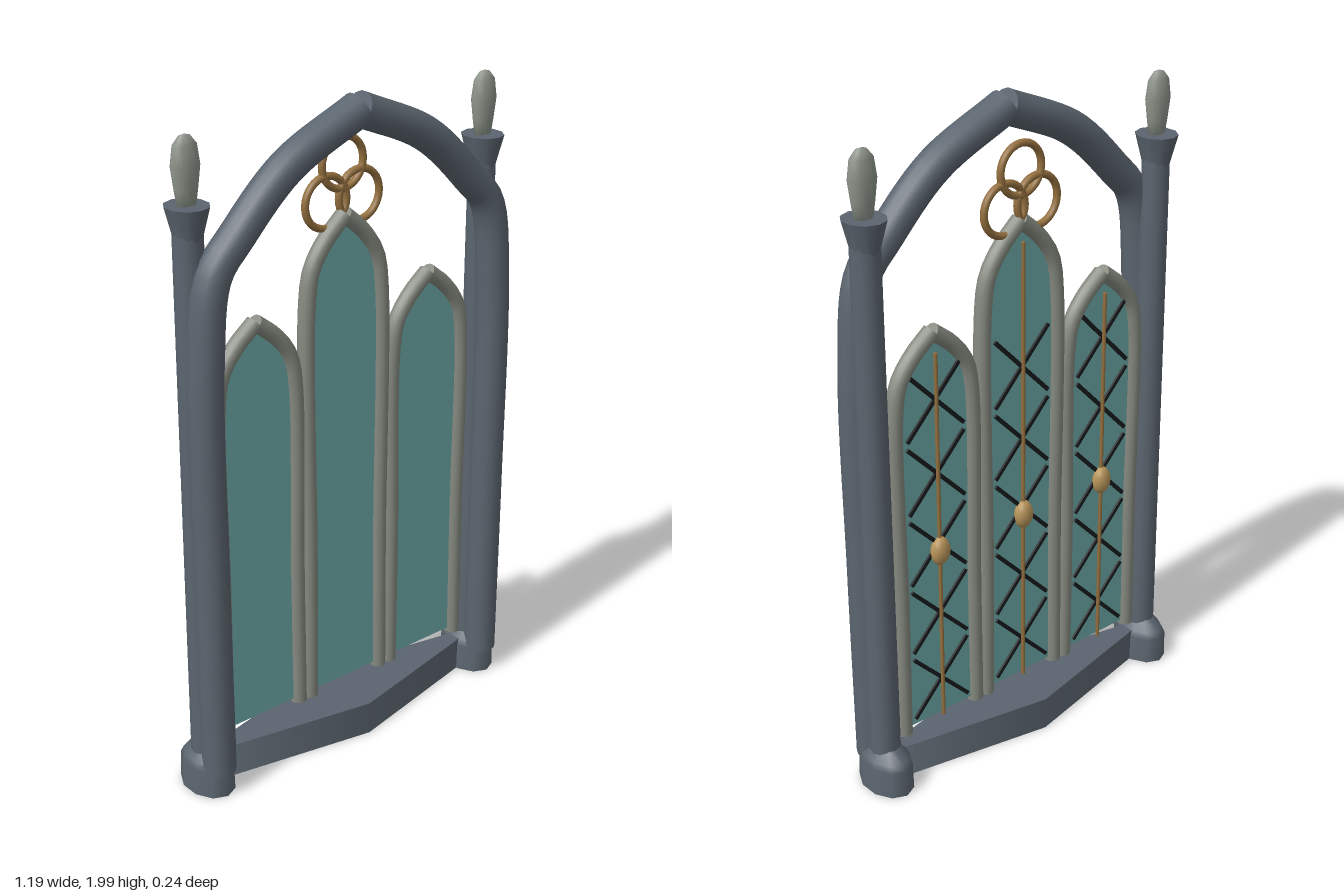
import * as THREE from 'three';

const mat = (color, side = THREE.FrontSide) => new THREE.MeshStandardMaterial({ color, side });
const stone = mat(0x5b656f);
const trim = mat(0x868a80);
const pale = mat(0x8f968c);
const glass = mat(0x6ba7a7, THREE.DoubleSide);
const bronze = mat(0x94703f);
const gold = mat(0xb8955a);
const lead = mat(0x16191c);

function add(parent, name, geometry, material, x = 0, y = 0, z = 0) {
  const mesh = new THREE.Mesh(geometry, material);
  mesh.name = name;
  mesh.position.set(x, y, z);
  parent.add(mesh);
  return mesh;
}

// Round bar along a smooth path of [x, y] points, closed at both ends
function bar(parent, name, points, radius, material, segments = 40) {
  const curve = new THREE.CatmullRomCurve3(points.map(([x, y]) => new THREE.Vector3(x, y, 0)));
  const group = new THREE.Group();
  group.name = name;
  add(group, name + 'Tube', new THREE.TubeGeometry(curve, segments, radius, 14), material);
  for (const t of [0, 1]) {
    const p = curve.getPointAt(t);
    const cap = add(group, name + 'End', new THREE.CircleGeometry(radius, 14), material, p.x, p.y, 0);
    cap.lookAt(p.clone().addScaledVector(curve.getTangentAt(t), t ? 1 : -1));
  }
  parent.add(group);
  return group;
}

// Pillar with wide foot, flared capital and a flattened bud on top
function pillar(side) {
  const group = new THREE.Group();
  group.name = side > 0 ? 'leftPillar' : 'rightPillar';
  const lathe = (pts, n) => new THREE.LatheGeometry(pts.map(([r, y]) => new THREE.Vector2(r, y)), n);
  const foot = lathe([[0, 0], [0.07, 0], [0.07, 0], [0.068, 0.085], [0.06, 0.105], [0.035, 0.135]], 10);
  add(group, 'foot', foot, stone).scale.z = 1.4;
  add(group, 'shaft', new THREE.CylinderGeometry(0.042, 0.046, 1.6, 12), stone, 0, 0.9, 0);
  const capital = lathe([[0.04, 1.66], [0.043, 1.69], [0.066, 1.775], [0.066, 1.775], [0, 1.775]], 10);
  add(group, 'capital', capital, stone).scale.x = 0.92;
  const bud = lathe([[0, 1.765], [0.028, 1.77], [0.036, 1.82], [0.044, 1.88], [0.036, 1.935], [0.018, 1.957], [0, 1.962]], 12);
  add(group, 'bud', bud, pale).scale.z = 0.62;
  group.position.x = side * 0.53;
  return group;
}

// Pointed window: spring is where the sides start to bend, apex is the frame's tip
function lancet(name, x, spring, apex) {
  const group = new THREE.Group();
  group.name = name;
  const w = 0.135, rise = apex - spring;
  const half = [[w + 0.003, 0.14], [w, 0.6], [w, spring], [w * 0.87, spring + rise * 0.42], [w * 0.5, spring + rise * 0.74], [0, apex]];
  for (const s of [1, -1]) {
    bar(group, 'frame', half.map(([px, py]) => [px * s, py]), 0.025, trim);
  }

  // Pane
  const pane = new THREE.Shape();
  half.forEach(([px, py], i) => (i ? pane.lineTo(px, py) : pane.moveTo(w, 0.155)));
  half.slice(0, -1).reverse().forEach(([px, py]) => pane.lineTo(-px, Math.max(py, 0.155)));
  const paneGeometry = new THREE.ExtrudeGeometry(pane, { depth: 0.012, bevelEnabled: false });
  add(group, 'pane', paneGeometry, glass, 0, 0, -0.006);

  // Crossed lead strips on the back
  for (let y = 0.28; y < spring + 0.02; y += 0.23) {
    for (const s of [1, -1]) {
      const strip = add(group, 'leadStrip', new THREE.BoxGeometry(0.29, 0.012, 0.008), lead, 0, y, -0.009);
      strip.rotation.z = s * 0.8;
    }
  }

  // Upright rod with a central boss
  const top = apex - 0.06;
  add(group, 'rod', new THREE.CylinderGeometry(0.006, 0.006, top - 0.15, 8), bronze, 0, (top + 0.15) / 2, -0.016);
  const boss = add(group, 'boss', new THREE.SphereGeometry(1, 10, 8), gold, 0, 0.72, -0.018);
  boss.scale.set(0.033, 0.045, 0.024);
  group.position.x = x;
  return group;
}

export function createModel() {
  const model = new THREE.Group();
  model.name = 'archedWindow';

  // Lozenge sill
  const sill = add(model, 'sill', new THREE.CylinderGeometry(1, 1, 0.105, 4), stone, 0, 0.0525, 0);
  sill.scale.set(0.58, 1, 0.12);

  // Two halves of the great arch, standing in front of the pillars
  const archPath = [[0.53, 0.08], [0.533, 0.7], [0.53, 1.35], [0.497, 1.59], [0.42, 1.68], [0.25, 1.835], [0, 1.949]];
  for (const side of [1, -1]) {
    model.add(pillar(side));
    const name = side > 0 ? 'leftArch' : 'rightArch';
    bar(model, name, archPath.map(([x, y]) => [x * side, y]), 0.05, stone, 64).position.z = 0.06;
  }

  // Three windows
  model.add(lancet('leftWindow', 0.32, 1.19, 1.4));
  model.add(lancet('middleWindow', 0, 1.41, 1.64));
  model.add(lancet('rightWindow', -0.32, 1.19, 1.4));

  // Trefoil of rings under the arch
  for (const [x, y] of [[0, 1.787], [0.06, 1.685], [-0.06, 1.685]]) {
    add(model, 'ring', new THREE.TorusGeometry(0.074, 0.011, 10, 32), bronze, x, y, -0.006);
  }
  return model;
}
